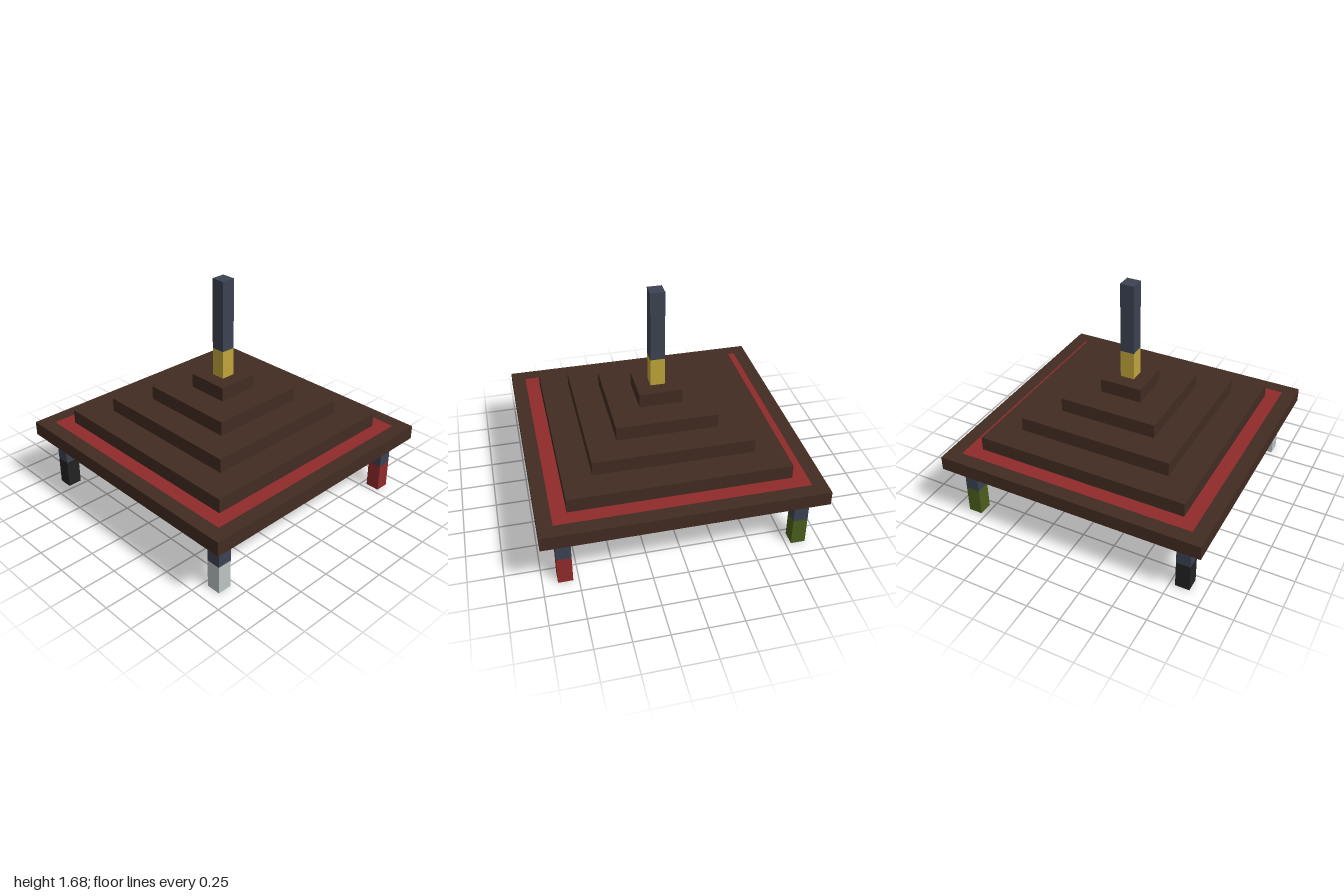
import * as THREE from 'three';

const U = 2 / 19; // edge of one block

function material(name, color) {
  const m = new THREE.MeshStandardMaterial({ color });
  m.name = name;
  return m;
}

export function createModel() {
  const brown = material('dark brown', 0x422c22);
  const red = material('red', 0x912b2b);
  const slate = material('slate', 0x3c4252);
  const gold = material('gold', 0xbfa43a);
  const amber = material('amber', 0xb88f47);
  const white = material('white', 0xbdc2c2);
  const black = material('black', 0x222222);
  const green = material('green', 0x4b5e1c);

  const model = new THREE.Group();
  model.name = 'pavilionRoof';

  function add(parent, name, geometry, mat, x, y, z) {
    const mesh = new THREE.Mesh(geometry, mat);
    mesh.name = name;
    mesh.position.set(x * U, y * U, z * U);
    parent.add(mesh);
  }

  // One-block-wide post standing on height y, sizes in blocks
  function post(parent, name, mat, x, y, z, height) {
    add(parent, name, new THREE.BoxGeometry(U, height * U, U), mat, x, y + height / 2, z);
  }

  // Square ring one block high, lying flat on height y
  function ring(name, mat, outer, inner, y) {
    const square = (Type, size) => {
      const h = size * U / 2;
      return new Type([[-h, -h], [h, -h], [h, h], [-h, h]].map(([a, b]) => new THREE.Vector2(a, b)));
    };
    const shape = square(THREE.Shape, outer);
    shape.holes.push(square(THREE.Path, inner));
    const geometry = new THREE.ExtrudeGeometry(shape, { depth: U, bevelEnabled: false });
    geometry.rotateX(-Math.PI / 2);
    add(model, name, geometry, mat, 0, y, 0);
  }

  // Corner legs, each with its own foot colour
  for (const [name, mat, sx, sz] of [
    ['frontLeftLeg', white, 1, 1], ['frontRightLeg', black, -1, 1],
    ['backLeftLeg', red, 1, -1], ['backRightLeg', green, -1, -1],
  ]) {
    const leg = new THREE.Group();
    leg.name = name;
    post(leg, 'foot', mat, sx * 8, 0, sz * 8, 2);
    post(leg, 'upperLeg', slate, sx * 8, 2, sz * 8, 2);
    model.add(leg);
  }

  // Eaves with the inset red band
  ring('eaves', brown, 19, 17, 4);
  ring('redBand', red, 17, 15, 4);

  // Hollow stepped roof and its solid cap
  [15, 11, 7].forEach((size, i) => ring('roofStep' + (i + 1), brown, size, size - 4, 5 + i));
  add(model, 'roofCap', new THREE.BoxGeometry(3 * U, U, 3 * U), brown, 0, 8.5, 0);

  // Lamps under the middle of each roof side
  for (const [x, z] of [[7, 0], [-7, 0], [0, 7], [0, -7]]) post(model, 'lamp', amber, x, 4, z, 1);

  // Spire
  post(model, 'spireBase', gold, 0, 9, 0, 2);
  post(model, 'spire', slate, 0, 11, 0, 5);

  return model;
}
